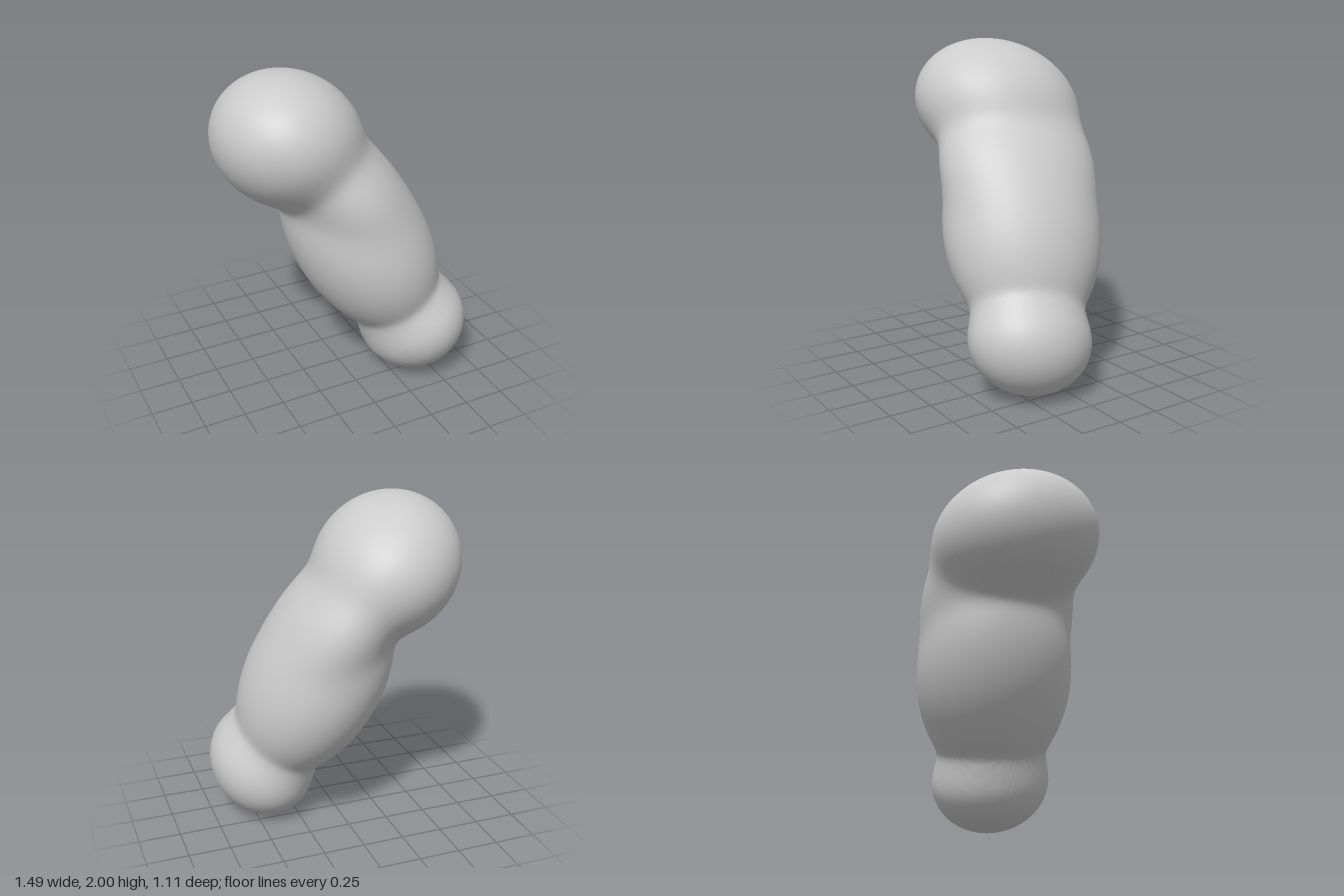
import * as THREE from 'three';
import { mergeVertices } from 'three/addons/utils/BufferGeometryUtils.js';

// Tilted ellipsoid: centre, squared half extents and the lean between axes
function lobe(centre, [xx, yy, zz], [xy, xz, yz]) {
  return {
    centre: new THREE.Vector3(...centre),
    inverse: new THREE.Matrix3().set(xx, xy, xz, xy, yy, yz, xz, yz, zz).invert(),
  };
}

const lobes = [
  // Head
  lobe([-0.3, 1.59, -0.05], [0.2, 0.168, 0.25], [-0.025, -0.02, 0.022]),
  // Neck
  lobe([0, 1.27, -0.003], [0.168, 0.2, 0.23], [-0.09, 0, -0.02]),
  // Trunk
  lobe([0.12, 0.9, 0.045], [0.218, 0.375, 0.24], [-0.11, 0.015, -0.035]),
  // Foot
  lobe([0.42, 0.325, 0.19], [0.104, 0.105, 0.136], [0.005, 0, 0.015]),
];

const BLEND = 6;
const offset = new THREE.Vector3();
const mapped = new THREE.Vector3();

// Soft union of the lobes: above 1 inside, below 1 outside
function density(point) {
  let sum = 0;
  for (const { centre, inverse } of lobes) {
    offset.subVectors(point, centre);
    mapped.copy(offset).applyMatrix3(inverse);
    sum += Math.exp(BLEND * (1 - offset.dot(mapped)));
  }
  return sum;
}

// Push every vertex of a fine sphere out to the blended surface
function blendedGeometry() {
  const sphere = new THREE.IcosahedronGeometry(1, 48);
  sphere.deleteAttribute('normal');
  sphere.deleteAttribute('uv');
  const geometry = mergeVertices(sphere, 1e-5);
  const position = geometry.attributes.position;
  const origin = new THREE.Vector3(0.06, 1, 0.03);
  const direction = new THREE.Vector3();
  const point = new THREE.Vector3();
  for (let i = 0; i < position.count; i++) {
    direction.fromBufferAttribute(position, i).normalize();
    let near = 0;
    let far = 1.6;
    for (let step = 0; step < 24; step++) {
      const mid = (near + far) / 2;
      point.copy(origin).addScaledVector(direction, mid);
      if (density(point) > 1) near = mid;
      else far = mid;
    }
    position.setXYZ(i, point.x, point.y, point.z);
  }
  geometry.computeVertexNormals();
  return geometry;
}

export function createModel() {
  const group = new THREE.Group();
  group.name = 'bentBody';

  // One smooth leaning body with a swollen head and a rounded foot
  const body = new THREE.Mesh(
    blendedGeometry(),
    new THREE.MeshStandardMaterial({ color: 0xcccccc }),
  );
  body.name = 'body';
  group.add(body);
  return group;
}
